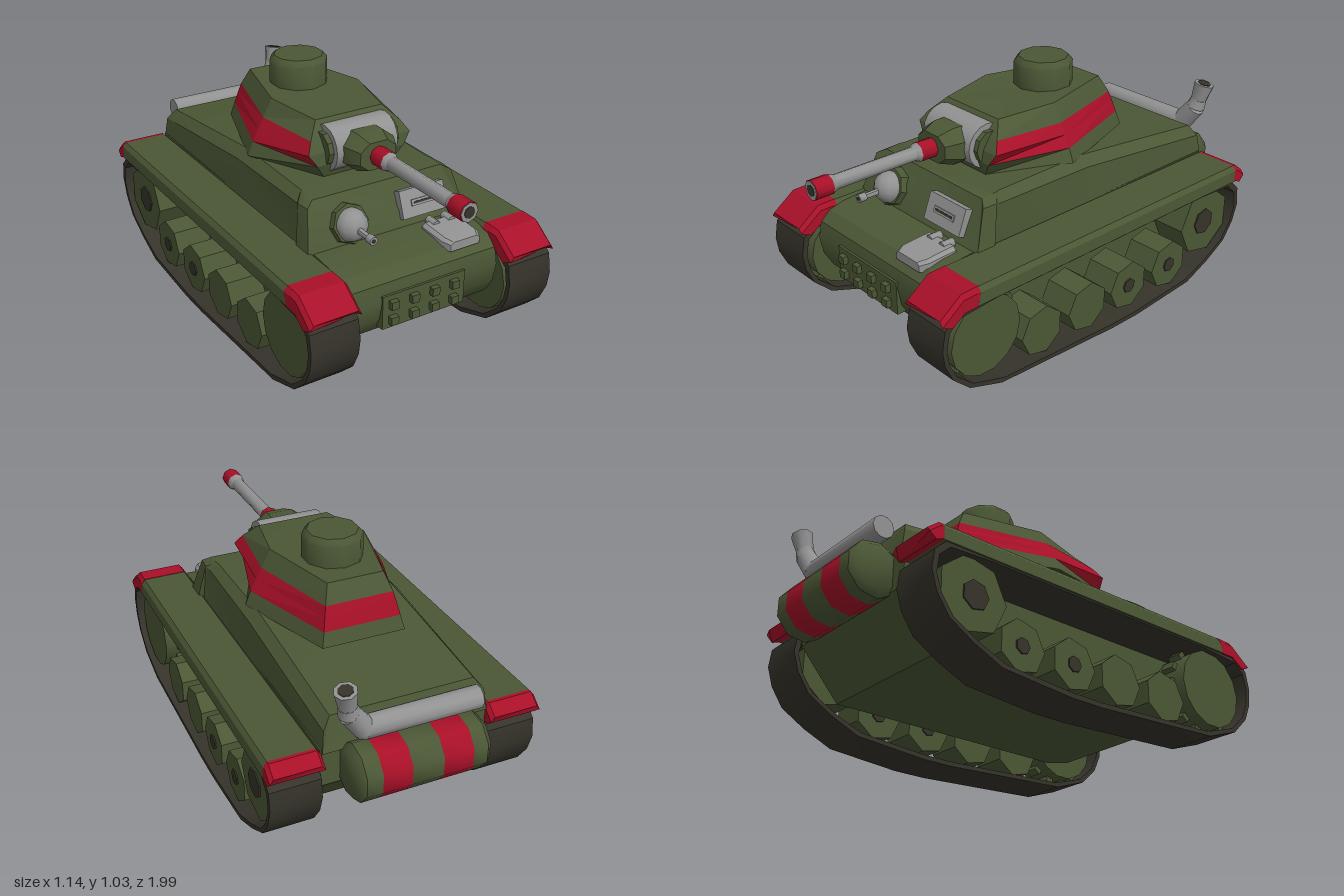
import * as THREE from 'three';
import { toCreasedNormals } from 'three/addons/utils/BufferGeometryUtils.js';

const mat = (name, color) => Object.assign(new THREE.MeshStandardMaterial({ color }), { name });
const V = (x, y, z) => new THREE.Vector3(x, y, z);

export function createModel() {
  const green = mat('olive green', 0x4b5735);
  const red = mat('stripe red', 0xa81028);
  const grey = mat('bare metal', 0x929292);
  const dark = mat('track dark', 0x35332a);
  const root = new THREE.Group();
  root.name = 'tank';

  const add = (name, geo, m, x = 0, y = 0, z = 0, parent = root, crease = 0.5) => {
    const mesh = new THREE.Mesh(toCreasedNormals(geo, crease), m);
    mesh.name = name;
    mesh.position.set(x, y, z);
    parent.add(mesh);
    return mesh;
  };
  const box = (w, h, d) => new THREE.BoxGeometry(w, h, d);
  const cylX = (r, w, n) => new THREE.CylinderGeometry(r, r, w, n).rotateZ(Math.PI / 2);
  // Closed skin through matching rings of points; skip(i, j) leaves out a quad
  const loft = (rings, caps = true, keep = () => true) => {
    const p = [];
    const tri = (...v) => v.forEach(q => p.push(q.x, q.y, q.z));
    const n = rings[0].length, last = rings.length - 1;
    for (let i = 0; i < last; i++) for (let j = 0; j < n; j++) {
      if (!keep(i, j)) continue;
      const k = (j + 1) % n, a = rings[i], b = rings[i + 1];
      tri(a[j], a[k], b[k]);
      tri(a[j], b[k], b[j]);
    }
    if (caps) for (let j = 1; j < n - 1; j++) {
      tri(rings[0][0], rings[0][j + 1], rings[0][j]);
      tri(rings[last][0], rings[last][j], rings[last][j + 1]);
    }
    const g = new THREE.BufferGeometry();
    g.setAttribute('position', new THREE.Float32BufferAttribute(p, 3));
    return g;
  };
  // Side profile of [z, y] points, extruded across x and centred
  const profile = (pts, width, hole) => {
    const s = new THREE.Shape(pts.map(q => new THREE.Vector2(...q)));
    if (hole) s.holes.push(new THREE.Path(hole.map(q => new THREE.Vector2(...q))));
    return new THREE.ExtrudeGeometry(s, { depth: width, bevelEnabled: false })
      .translate(0, 0, -width / 2).rotateY(-Math.PI / 2);
  };
  // Straight rod between two points
  const rod = (name, a, b, r0, r1, m, n = 8) => {
    const d = b.clone().sub(a), c = a.clone().add(b).multiplyScalar(0.5);
    const mesh = add(name, new THREE.CylinderGeometry(r1, r0, d.length(), n), m, c.x, c.y, c.z, root, 0.9);
    mesh.quaternion.setFromUnitVectors(V(0, 1, 0), d.normalize());
    return mesh;
  };

  // Lower hull with rounded nose
  add('lowerHull', profile([[-0.64, 0.137], [0.5, 0.137], [0.63, 0.165], [0.715, 0.22], [0.755, 0.29],
    [0.77, 0.37], [0.755, 0.44], [0.71, 0.48], [0.64, 0.495], [0.5, 0.505], [-0.82, 0.505], [-0.82, 0.34]], 0.70), green);

  // Superstructure: [base z, base half width, shoulder z, half, y, top z, half, y]
  const hullRing = ([zb, hb, zs, hs, ys, zt, ht, yt]) => [V(hb, 0.49, zb), V(hs, ys, zs), V(ht, yt, zt),
    V(-ht, yt, zt), V(-hs, ys, zs), V(-hb, 0.49, zb)];
  add('superstructure', loft([
    [-0.83, 0.345, -0.815, 0.335, 0.58, -0.79, 0.30, 0.625],
    [-0.10, 0.352, -0.10, 0.34, 0.655, -0.10, 0.30, 0.697],
    [0.43, 0.352, 0.38, 0.335, 0.655, 0.35, 0.30, 0.69],
    [0.44, 0.377, 0.40, 0.345, 0.665, 0.37, 0.305, 0.69],
    [0.53, 0.377, 0.465, 0.34, 0.665, 0.44, 0.305, 0.685]].map(hullRing)), green);

  // Running gear, one set per side
  const trackLine = [[0.855, 0.31], [0.84, 0.39], [0.79, 0.435], [0.6, 0.45], [-0.6, 0.45], [-0.79, 0.44],
    [-0.84, 0.39], [-0.85, 0.31], [-0.825, 0.23], [-0.77, 0.15], [-0.66, 0.085], [-0.53, 0.028], [-0.2, 0.002],
    [-0.05, 0.002], [0.57, 0.035], [0.73, 0.09], [0.81, 0.165], [0.845, 0.24]];
  const innerLine = trackLine.map(([z, y]) => [z * 0.975, 0.23 + (y - 0.23) * 0.91]);
  // Fender section: top z, top y, bottom z, bottom y
  const fenderRing = ([zt, yt, zb, yb]) => [V(0.112, yb, zb), V(0.11, yt - 0.02, zt), V(0.095, yt, zt),
    V(-0.095, yt, zt), V(-0.11, yt - 0.02, zt), V(-0.112, yb, zb)];
  const fender = s => loft(s.map(fenderRing));
  for (const side of [1, -1]) {
    const g = new THREE.Group();
    g.name = side > 0 ? 'leftRunningGear' : 'rightRunningGear';
    g.position.x = side * 0.457;
    root.add(g);
    add('track', profile(trackLine, 0.21, innerLine), dark, 0, 0, 0, g);
    add('fender', fender([[-0.805, 0.508, -0.805, 0.437], [0.675, 0.508, 0.69, 0.437]]), green, 0, 0, 0, g);
    add('frontFenderTip', fender([[0.675, 0.51, 0.69, 0.435], [0.755, 0.508, 0.75, 0.435],
      [0.855, 0.435, 0.81, 0.395]]), red, 0, 0, 0, g);
    add('rearFenderTip', fender([[-0.868, 0.47, -0.84, 0.425], [-0.82, 0.508, -0.81, 0.437],
      [-0.805, 0.508, -0.80, 0.437]]), red, 0, 0, 0, g);
    [0.335, 0.08, -0.165, -0.42].forEach((z, i) => {
      add('roadWheel', cylX(0.108, 0.16, 7), green, 0, 0.153, z, g);
      if (i > 1) add('roadWheelHub', cylX(0.033, 0.172, 7), dark, 0, 0.153, z, g);
    });
    add('idlerWheel', cylX(0.155, 0.16, 7), green, 0, 0.285, -0.65, g);
    add('idlerHub', cylX(0.06, 0.172, 7), dark, 0, 0.285, -0.64, g);
    add('driveSprocket', cylX(0.17, 0.16, 14), green, 0, 0.265, 0.625, g);
    for (let i = 0; i < 14; i++) {
      const a = (i + 0.5) / 14 * Math.PI * 2;
      add('sprocketTooth', box(0.06, 0.03, 0.035).translate(0, 0.175, 0).rotateX(a), green, 0, 0.265, 0.625, g);
    }
  }

  // Turret: [y, front half width, front z, mid half width, rear half width, rear z]
  const turretRing = ([y, xf, zf, xm, xr, zr]) => [V(-xf, y, zf), V(xf, y, zf), V(xm, y, -0.03),
    V(xr, y, zr), V(-xr, y, zr), V(-xm, y, -0.03)];
  const rings = [[0.69, 0.165, 0.30, 0.325, 0.178, -0.467], [0.75, 0.205, 0.32, 0.302, 0.165, -0.45],
    [0.80, 0.24, 0.31, 0.275, 0.155, -0.435], [0.845, 0.212, 0.28, 0.25, 0.145, -0.42],
    [0.92, 0.158, 0.225, 0.21, 0.12, -0.38]].map(turretRing);
  rings[4][0].y = rings[4][1].y = 0.905;
  const striped = (i, j) => (i === 1 || i === 2) && j !== 0;
  add('turret', loft(rings, true, (i, j) => !striped(i, j)), green, 0, 0, 0, root, 0.15);
  add('turretStripe', loft(rings, false, striped), red, 0, 0, 0, root, 0.15);

  // Cupola
  add('cupola', new THREE.LatheGeometry([[0, 1.035], [0.105, 1.035], [0.125, 1.012], [0.125, 0.9]]
    .reverse().map(q => new THREE.Vector2(...q)), 10), green, 0, 0, -0.168, root, 0.7);

  // Mantlet and gun
  add('mantlet', cylX(0.095, 0.285, 16), grey, 0, 0.80, 0.27);
  for (const s of [1, -1]) add('mantletCheek', cylX(0.072, 0.022, 10), green, s * 0.154, 0.80, 0.27);
  const oval = (w, h, z) => [[1, 0.45], [0.5, 1], [-0.5, 1], [-1, 0.45], [-1, -0.45], [-0.5, -1], [0.5, -1], [1, -0.45]]
    .map(([a, b]) => V(a * w, 0.797 + b * h, z));
  add('gunCollar', loft([oval(0.113, 0.078, 0.32), oval(0.113, 0.078, 0.375), oval(0.083, 0.058, 0.437)]), green);
  const gun = (name, z0, z1, r0, r1, m) => rod(name, V(0, 0.797, z0), V(0, 0.797, z1), r0, r1, m);
  gun('barrelBaseBand', 0.42, 0.51, 0.041, 0.041, red);
  gun('barrelNeck', 0.51, 0.53, 0.041, 0.03, grey);
  gun('barrel', 0.53, 0.895, 0.03, 0.03, grey);
  gun('barrelFlare', 0.895, 0.92, 0.03, 0.041, grey);
  gun('muzzleBand', 0.92, 0.996, 0.041, 0.041, red);
  gun('muzzleRing', 0.99, 0.998, 0.038, 0.038, grey);
  gun('muzzleBore', 0.99, 1.0, 0.024, 0.024, dark);

  // Hull machine gun in ball mount
  const mount = add('ballMountBase', new THREE.CylinderGeometry(0.08, 0.084, 0.04, 8).rotateX(Math.PI / 2),
    green, -0.18, 0.58, 0.505);
  mount.rotation.x = -0.36;
  add('ballMount', new THREE.SphereGeometry(0.068, 10, 8), grey, -0.18, 0.582, 0.522, root, 1);
  rod('hullGunBarrel', V(-0.18, 0.582, 0.56), V(-0.18, 0.582, 0.65), 0.014, 0.012, grey);
  rod('hullGunMuzzle', V(-0.18, 0.582, 0.645), V(-0.18, 0.582, 0.678), 0.018, 0.018, grey);
  rod('hullGunBore', V(-0.18, 0.582, 0.67), V(-0.18, 0.582, 0.68), 0.009, 0.009, dark);

  // Driver's visor on the sloped front
  const visor = new THREE.Group();
  visor.name = 'driverVisor';
  visor.position.set(0.168, 0.587, 0.497);
  visor.rotation.x = -0.36;
  root.add(visor);
  add('visorPlate', box(0.215, 0.115, 0.04), grey, 0, 0, 0, visor);
  add('visorFrame', box(0.12, 0.026, 0.014), grey, 0, 0, 0.018, visor);
  add('visorSlit', box(0.10, 0.009, 0.006), dark, 0, 0, 0.024, visor);

  // Hinged hatch on the nose deck
  add('noseHatch', loft([[0.57, 0.088], [0.70, 0.088], [0.735, 0.07]].map(([z, w], i) =>
    [V(w, 0.468, z), V(w, 0.508 - i * 0.006, z), V(w - 0.015, 0.522 - i * 0.008, z),
      V(0.015 - w, 0.522 - i * 0.008, z), V(-w, 0.508 - i * 0.006, z), V(-w, 0.468, z)])), grey, 0.213);
  for (const x of [0.175, 0.25]) rod('hatchHinge', V(x, 0.515, 0.545), V(x, 0.515, 0.60), 0.018, 0.018, grey);

  // Bolted nose plate
  add('nosePlate', box(0.386, 0.143, 0.05), green, -0.007, 0.323, 0.75);
  for (const x of [-0.155, -0.06, 0.035, 0.13]) for (const y of [0.287, 0.355])
    add('noseBolt', box(0.034, 0.034, 0.03), green, x, y, 0.782);

  // Rear fuel drum with red bands
  const drumR = 0.117;
  const drum = (name, x0, x1, r0, r1, m) =>
    rod(name, V(x0, 0.42, -0.885), V(x1, 0.42, -0.885), r0, r1, m, 9);
  [-0.255, -0.195, -0.07, 0.06, 0.18, 0.245].forEach((x, i, a) => {
    if (i < 5) drum(i % 2 ? 'drumBand' : 'fuelDrum', x, a[i + 1], drumR, drumR, i % 2 ? red : green);
  });
  drum('drumEnd', -0.28, -0.255, 0.092, drumR, green);
  drum('drumEnd', 0.245, 0.27, drumR, 0.092, green);

  // Exhaust pipe
  const path = [V(-0.275, 0.595, -0.868), V(0.20, 0.595, -0.868), V(0.265, 0.68, -0.878), V(0.275, 0.72, -0.885),
    V(0.29, 0.795, -0.897)];
  rod('exhaustPipe', path[0], path[1], 0.047, 0.047, grey, 10);
  add('exhaustElbow', new THREE.SphereGeometry(0.047, 10, 8), grey, 0.20, 0.595, -0.868, root, 1);
  rod('exhaustRiser', path[1], path[2], 0.047, 0.043, grey, 10);
  rod('exhaustNeck', path[2], path[3], 0.043, 0.036, grey, 10);
  rod('exhaustStack', path[3], path[4], 0.036, 0.045, grey, 8);
  rod('exhaustOpening', path[3], path[4].clone().add(V(0, 0.003, 0)), 0.02, 0.03, dark, 8);
  return root;
}
